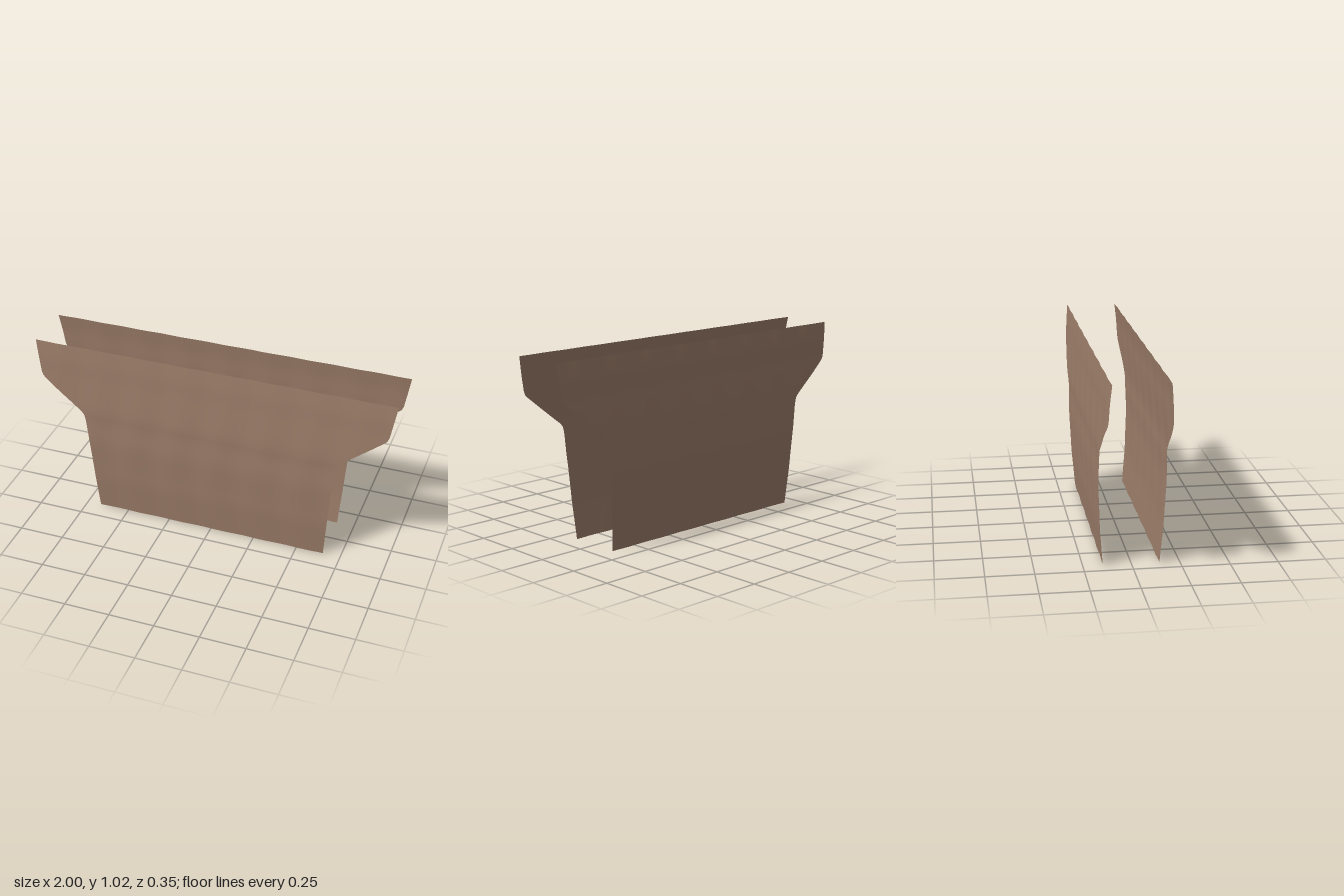
import * as THREE from 'three';

// Cross-sections of a cloth panel: height, left edge, right edge
const EDGES = [
  [0, -0.67, 0.652], [0.2, -0.685, 0.667], [0.4, -0.7, 0.682], [0.5, -0.71, 0.694],
  [0.58, -0.72, 0.704], [0.615, -0.727, 0.711], [0.635, -0.742, 0.726], [0.805, -0.952, 0.945],
  [0.82, -0.966, 0.96], [0.845, -0.974, 0.969], [0.93, -0.986, 0.984], [1.025, -1, 1],
];

// Soft outward belly of the cloth: x is the height, y the distance from the middle
const BELLY = new THREE.SplineCurve([
  [0, 0.145], [0.1, 0.153], [0.2, 0.161], [0.3, 0.165], [0.45, 0.171], [0.57, 0.169],
  [0.65, 0.17], [0.75, 0.164], [0.85, 0.157], [0.93, 0.153], [1.025, 0.144],
].map(([y, z]) => new THREE.Vector2(y, z))).getPoints(200);

function sample(table, y, column) {
  let i = 1;
  while (i < table.length - 1 && table[i][0] < y) i++;
  const a = table[i - 1], b = table[i];
  return THREE.MathUtils.mapLinear(y, a[0], b[0], a[column], b[column]);
}

const bellyTable = BELLY.map((p) => [p.x, p.y]);

// One rippled panel; side is +1 for the front, -1 for the back
function panelGeometry(side) {
  const columns = 80;
  // Rows include every outline height, with even steps between them
  const rows = [0];
  for (let i = 1; i < EDGES.length; i++) {
    const from = EDGES[i - 1][0], to = EDGES[i][0];
    const steps = Math.ceil((to - from) / 0.03);
    for (let s = 1; s <= steps; s++) rows.push(from + ((to - from) * s) / steps);
  }
  const positions = [], indices = [];
  rows.forEach((y, r) => {
    const left = sample(EDGES, y, 1), right = sample(EDGES, y, 2);
    for (let c = 0; c <= columns; c++) {
      const x = THREE.MathUtils.lerp(left, right, c / columns);
      const ripple = 0.0015 * Math.sin(x * 26 + 1.2 * Math.sin(y * 5));
      positions.push(x, y, side * (sample(bellyTable, y, 1) + ripple));
      if (r === 0 || c === 0) continue;
      const d = r * (columns + 1) + c, b = d - columns - 1;
      if (side > 0) indices.push(b - 1, b, d, b - 1, d, d - 1);
      else indices.push(b - 1, d, b, b - 1, d - 1, d);
    }
  });
  const geometry = new THREE.BufferGeometry();
  geometry.setAttribute('position', new THREE.Float32BufferAttribute(positions, 3));
  geometry.setIndex(indices);
  geometry.computeVertexNormals();
  return geometry;
}

export function createModel() {
  const group = new THREE.Group();
  group.name = 'clothPanels';
  const cloth = new THREE.MeshStandardMaterial({ color: 0x9c7d69, side: THREE.DoubleSide });
  for (const [name, side] of [['frontPanel', 1], ['backPanel', -1]]) {
    const panel = new THREE.Mesh(panelGeometry(side), cloth);
    panel.name = name;
    group.add(panel);
  }
  return group;
}
